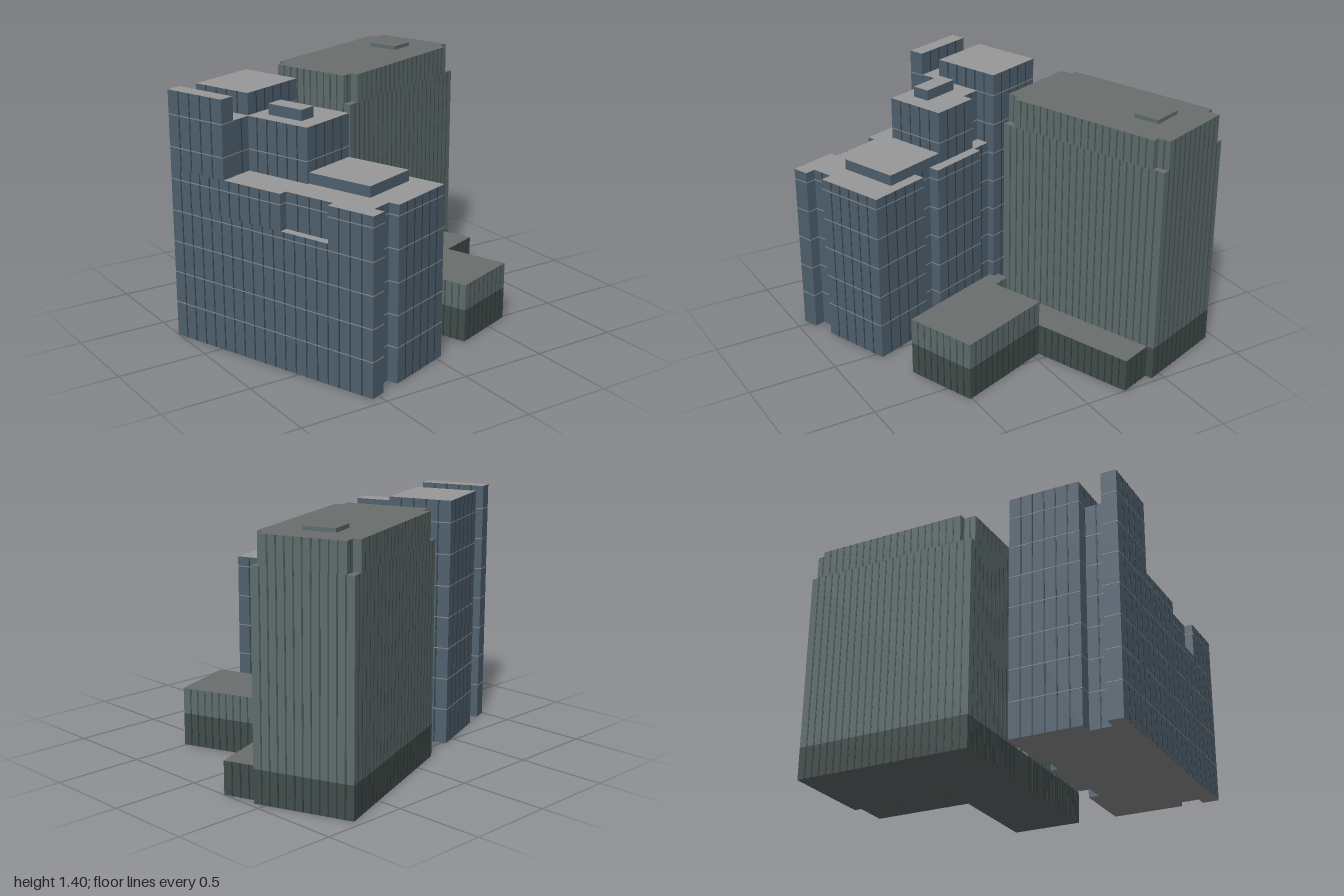
import * as THREE from 'three';
import { mergeGeometries } from 'three/addons/utils/BufferGeometryUtils.js';

const mat = (color) => new THREE.MeshStandardMaterial({ color });

// Both buildings share one street grid: plans are [u, v] points, turned 20 degrees at the end.
const rect = (u0, u1, v0, v1) => [[u0, v0], [u1, v0], [u1, v1], [u0, v1]];

export function createModel() {
  const root = new THREE.Group();
  root.name = 'cityBlock';
  const grid = new THREE.Group();
  grid.name = 'streetGrid';
  grid.rotation.y = THREE.MathUtils.degToRad(20);
  root.add(grid);

  const blue = { roof: mat(0x999999), wall: mat(0x50616f), rib: mat(0x36424c), band: mat(0x85898c), gap: 0.07, floor: 0.178 };
  const green = { roof: mat(0x6a706f), wall: mat(0x5f6d6d), rib: mat(0x475252), gap: 0.045 };
  const dark = { roof: green.roof, wall: mat(0x414d4b), rib: mat(0x323c3a), gap: 0.045 };

  // Thin mullions and floor lines along every wall of a plan
  function facade(group, plan, y0, y1, style) {
    const ribs = [], bands = [];
    plan.forEach(([u, v], i) => {
      const [u2, v2] = plan[(i + 1) % plan.length];
      const du = u2 - u, dv = v2 - v, len = Math.hypot(du, dv);
      const turn = -Math.atan2(dv, du);
      const n = Math.round(len / style.gap);
      for (let k = 1; k < n; k++) {
        const t = k / n;
        ribs.push(new THREE.BoxGeometry(0.008, y1 - y0, 0.003).rotateY(turn)
          .translate(u + du * t, (y0 + y1) / 2, v + dv * t));
      }
      if (!style.band) return;
      for (let y = 0.2; y < y1 - 0.02; y += style.floor) {
        if (y < y0 + 0.01) continue;
        bands.push(new THREE.BoxGeometry(len, 0.005, 0.004).rotateY(turn)
          .translate(u + du / 2, y, v + dv / 2));
      }
    });
    for (const [name, list, m] of [['mullions', ribs, style.rib], ['floorLines', bands, style.band]]) {
      if (!list.length) continue;
      const mesh = new THREE.Mesh(mergeGeometries(list), m);
      mesh.name = name;
      group.add(mesh);
    }
  }

  // One storey block: plan extruded from y0 to y1
  function block(parent, name, plan, y0, y1, style, lined = true) {
    const group = new THREE.Group();
    group.name = name;
    const shape = new THREE.Shape(plan.map(([u, v]) => new THREE.Vector2(u, -v)));
    const geo = new THREE.ExtrudeGeometry(shape, { depth: y1 - y0, bevelEnabled: false });
    geo.rotateX(-Math.PI / 2).translate(0, y0, 0);
    const mesh = new THREE.Mesh(geo, [style.roof, style.wall]);
    mesh.name = name + 'Walls';
    group.add(mesh);
    if (lined) facade(group, plan, y0, y1, style);
    parent.add(group);
  }

  // Stepped building
  const stepped = new THREE.Group();
  stepped.name = 'steppedBuilding';
  grid.add(stepped);
  const L = -0.835, R = -0.21, B = -0.63, F = 0.7;
  const outline = [
    [L, B], [-0.746, B], [-0.746, -0.555], [-0.619, -0.555], [-0.619, B], [R, B],
    [R, -0.266], [-0.252, -0.266], [-0.252, -0.148], [R, -0.148],
    [R, 0.213], [-0.272, 0.213], [-0.272, 0.331], [R, 0.331],
    [R, F], [-0.619, F], [-0.619, 0.638], [-0.742, 0.638], [-0.742, F], [L, F],
  ];
  const sideRecess = [[L, 0.422], [-0.788, 0.422], [-0.788, 0.12], [L, 0.12]];
  block(stepped, 'lowerFloors', outline, 0, 0.77, blue);
  block(stepped, 'recessedFloors', [...outline, ...sideRecess], 0.77, 0.97, blue);
  block(stepped, 'sideFin', rect(L, -0.746, B, -0.257), 0.97, 1.4, blue);
  block(stepped, 'linkTower', rect(-0.746, -0.619, -0.555, -0.26), 0.97, 1.27, blue);
  block(stepped, 'backTower', rect(-0.619, R, B, -0.266), 0.97, 1.39, blue);
  block(stepped, 'middleTower', [
    [-0.626, -0.266], [-0.332, -0.266], [-0.332, -0.15], [-0.268, -0.15],
    [-0.268, 0.133], [-0.626, 0.133],
  ], 0.97, 1.27, blue);
  block(stepped, 'middlePenthouse', rect(-0.543, -0.442, -0.19, 0.032), 1.27, 1.33, blue, false);
  block(stepped, 'frontPenthouse', rect(-0.615, -0.272, 0.133, 0.522), 0.97, 1.03, blue, false);

  // Slab tower with notched top corners
  const slab = new THREE.Group();
  slab.name = 'slabTower';
  grid.add(slab);
  const l = 0.022, r = 1.062, b = -0.63, f = -0.078, nu = 0.07, nv = 0.042;
  const notched = [
    [l, b + nv], [l + nu, b + nv], [l + nu, b], [r - nu, b], [r - nu, b + nv], [r, b + nv],
    [r, f - nv], [r - nu, f - nv], [r - nu, f], [l + nu, f], [l + nu, f - nv], [l, f - nv],
  ];
  block(slab, 'towerBase', rect(l, r, b, f), 0, 0.185, dark);
  block(slab, 'towerShaft', rect(l, r, b, f), 0.185, 1.22, green);
  block(slab, 'towerCrown', notched, 1.22, 1.38, green);
  block(slab, 'roofPlant', rect(0.736, 0.888, -0.452, -0.273), 1.38, 1.402, green, false);

  // Low podium and the projecting wing
  const wing = [
    [l, 0.045], [0.055, 0.045], [0.055, 0.012], [0.122, 0.012],
    [0.122, 0.116], [0.435, 0.116], [0.435, 0.703], [l, 0.703],
  ];
  block(slab, 'podium', [
    [l, f], [1.02, f], [1.02, 0.116], [0.435, 0.116], [0.435, 0.703], [l, 0.703],
  ], 0, 0.185, dark);
  block(slab, 'wingUpperFloor', wing, 0.185, 0.333, green);

  return root;
}
